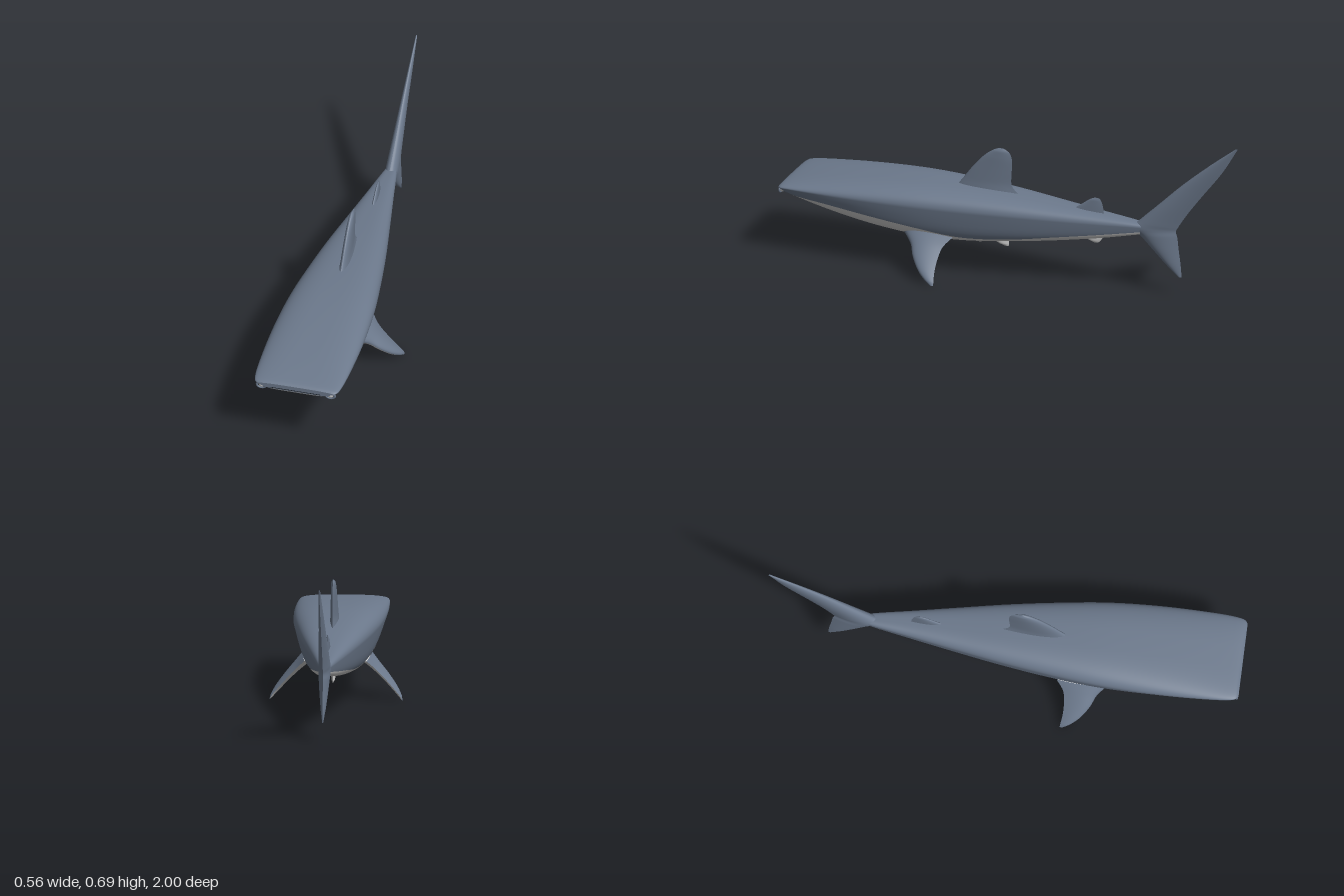
import * as THREE from 'three';

const skin = new THREE.MeshStandardMaterial({ color: 0x6c798c });
const belly = new THREE.MeshStandardMaterial({ color: 0xcccccc });
const dark = new THREE.MeshStandardMaterial({ color: 0x20262e });
for (const m of [skin, belly]) m.side = THREE.DoubleSide;

// Smooth skin over rows of points, all rows the same length
function loft(name, rows, material) {
  const n = rows[0].length, index = [];
  for (let i = 0; i < rows.length - 1; i++) {
    for (let j = 0; j < n - 1; j++) {
      const a = i * n + j, b = a + n;
      index.push(a, b, a + 1, b, b + 1, a + 1);
    }
  }
  const geo = new THREE.BufferGeometry().setFromPoints(rows.flat());
  geo.setIndex(index);
  geo.computeVertexNormals();
  const mesh = new THREE.Mesh(geo, material);
  mesh.name = name;
  return mesh;
}

const curve = (pts) => new THREE.CatmullRomCurve3(pts, false, 'centripetal');

// Fin from sections [lead xyz, trail xyz, half thickness]; one shell per side
function fin(name, sections, matA = skin, matB = matA) {
  const lead = curve(sections.map((s) => new THREE.Vector3(...s[0])));
  const trail = curve(sections.map((s) => new THREE.Vector3(...s[1])));
  const first = sections[0], last = sections[sections.length - 1];
  const mid = (s) => new THREE.Vector3(...s[0]).add(new THREE.Vector3(...s[1])).multiplyScalar(0.5);
  const chord = new THREE.Vector3(...first[1]).sub(new THREE.Vector3(...first[0]));
  const normal = mid(last).sub(mid(first)).cross(chord).normalize();
  const group = new THREE.Group();
  group.name = name;
  for (const side of [1, -1]) {
    const rows = [];
    const steps = (sections.length - 1) * 5;
    for (let i = 0; i <= steps; i++) {
      const t = i / steps, k = Math.min(Math.floor(t * (sections.length - 1)), sections.length - 2);
      const h = THREE.MathUtils.lerp(sections[k][2], sections[k + 1][2], t * (sections.length - 1) - k);
      const a = lead.getPoint(t), b = trail.getPoint(t), row = [];
      for (let j = 0; j <= 14; j++) {
        const c = (j / 14) ** 2;
        const bulge = h * 2.6 * Math.sqrt(c) * (1 - c) * side;
        row.push(a.clone().lerp(b, c).addScaledVector(normal, bulge));
      }
      rows.push(side > 0 ? row : row.reverse());
    }
    group.add(loft(name + (side > 0 ? 'SideA' : 'SideB'), rows, side > 0 ? matA : matB));
  }
  return group;
}

// Fin on the centre plane, sections [lead z, y, trail z, y, half thickness]
const midFin = (name, list, mat) =>
  fin(name, list.map(([z1, y1, z2, y2, h]) => [[0, y1, z1], [0, y2, z2], h]), mat);

// Body stations: z, half width, top, bottom, height of the colour line
const stations = [
  [1.0, 0.165, 0.308, 0.284, 0.285],
  [0.988, 0.178, 0.316, 0.272, 0.275],
  [0.95, 0.187, 0.325, 0.258, 0.27],
  [0.8, 0.195, 0.345, 0.213, 0.258],
  [0.6, 0.195, 0.362, 0.17, 0.23],
  [0.4, 0.184, 0.37, 0.145, 0.2],
  [0.2, 0.16, 0.366, 0.142, 0.17],
  [0, 0.13, 0.354, 0.16, 0.18],
  [-0.2, 0.094, 0.337, 0.186, 0.21],
  [-0.4, 0.057, 0.319, 0.219, 0.24],
  [-0.55, 0.03, 0.305, 0.25, 0.264],
  [-0.66, 0.006, 0.29, 0.272, 0.279],
];

function body() {
  const sizes = curve(stations.map(([z, w, t]) => new THREE.Vector3(w, t, z)));
  const unders = curve(stations.map(([z, , , b, s]) => new THREE.Vector3(s, b, z)));
  const upper = [], lower = [];
  const steps = (stations.length - 1) * 5;
  for (let i = 0; i <= steps; i++) {
    const { x: w, y: top, z } = sizes.getPoint(i / steps);
    const { x: line, y: bottom } = unders.getPoint(i / steps);
    const wide = bottom + (top - bottom) * 0.67;
    // Rounded upper half, and a lower half that narrows to a flat belly
    const over = (a) => [w * Math.cos(a) ** 0.65, wide + (top - wide) * Math.sin(a) ** 0.8];
    const under = (a) => {
      const v = Math.sin(a) ** 0.4;
      return [w * (1 - 0.22 * v) * Math.max(Math.cos(a), 0) ** 0.4, wide - (wide - bottom) * v];
    };
    const split = Math.asin(THREE.MathUtils.clamp((wide - line) / (wide - bottom), 0.02, 1) ** 2.5);
    const halfUp = [], halfLow = [];
    for (let j = 0; j < 6; j++) halfUp.push(under(split * (1 - j / 6)));
    for (let j = 0; j < 14; j++) halfUp.push(over((j / 14) * Math.PI / 2));
    for (let j = 0; j < 14; j++) halfLow.push(under(split + (Math.PI / 2 - split) * (j / 14)));
    const ring = (half, end, s) => [
      ...half.map(([x, y]) => new THREE.Vector3(s * x, y, z)),
      new THREE.Vector3(0, end, z),
      ...half.slice().reverse().map(([x, y]) => new THREE.Vector3(-s * x, y, z)),
    ];
    upper.push(ring(halfUp, top, 1));
    lower.push(ring(halfLow, bottom, -1));
  }
  // Blunt nose face closing the first ring
  const rim = [...upper[0], ...lower[0]];
  const centre = rim.map((p) => new THREE.Vector3(p.x * 0.9, 0.296, 1));
  const group = new THREE.Group();
  group.name = 'body';
  group.add(loft('back', upper, skin), loft('belly', lower, belly), loft('nose', [centre, rim], skin));
  return group;
}

export function createModel() {
  const model = new THREE.Group();
  model.name = 'shark';
  model.add(body());

  // Fins along the centre line
  model.add(midFin('dorsalFin', [
    [0.27, 0.345, -0.02, 0.345, 0.02], [0.235, 0.39, 0.015, 0.385, 0.016],
    [0.19, 0.45, 0.016, 0.44, 0.014], [0.14, 0.505, 0.014, 0.495, 0.012],
    [0.1, 0.535, 0.025, 0.53, 0.009], [0.07, 0.548, 0.05, 0.546, 0.002],
  ]));
  model.add(midFin('rearDorsalFin', [
    [-0.25, 0.315, -0.4, 0.305, 0.009], [-0.3, 0.35, -0.395, 0.345, 0.007],
    [-0.335, 0.375, -0.387, 0.372, 0.005], [-0.36, 0.386, -0.378, 0.384, 0.001],
  ]));
  model.add(midFin('pelvicFin', [
    [0.17, 0.16, 0.01, 0.17, 0.012], [0.11, 0.14, 0.028, 0.14, 0.01],
    [0.075, 0.123, 0.027, 0.122, 0.007], [0.05, 0.113, 0.03, 0.112, 0.001],
  ], belly));
  model.add(midFin('analFin', [
    [-0.24, 0.21, -0.4, 0.235, 0.009], [-0.3, 0.205, -0.395, 0.215, 0.007],
    [-0.335, 0.191, -0.385, 0.197, 0.005], [-0.355, 0.184, -0.373, 0.185, 0.001],
  ], belly));

  // Tail fin, from the upper tip to the lower tip
  model.add(midFin('tailFin', [
    [-0.99, 0.69, -1, 0.69, 0.003], [-0.88, 0.605, -0.93, 0.575, 0.008],
    [-0.75, 0.495, -0.842, 0.46, 0.014], [-0.65, 0.4, -0.775, 0.37, 0.02],
    [-0.56, 0.315, -0.73, 0.3, 0.025], [-0.525, 0.28, -0.722, 0.282, 0.026],
    [-0.56, 0.25, -0.728, 0.26, 0.024], [-0.62, 0.19, -0.735, 0.2, 0.018],
    [-0.68, 0.13, -0.743, 0.14, 0.011], [-0.735, 0.08, -0.748, 0.083, 0.002],
  ]));

  for (const s of [1, -1]) {
    const label = s > 0 ? 'left' : 'right';
    // Pectoral fin, pale underneath
    const sections = [
      [[s * 0.125, 0.165, 0.45], [s * 0.13, 0.17, 0.23], 0.026],
      [[s * 0.165, 0.13, 0.405], [s * 0.165, 0.133, 0.262], 0.02],
      [[s * 0.205, 0.09, 0.38], [s * 0.205, 0.09, 0.27], 0.016],
      [[s * 0.245, 0.045, 0.34], [s * 0.245, 0.045, 0.268], 0.012],
      [[s * 0.268, 0.015, 0.3], [s * 0.27, 0.015, 0.262], 0.007],
      [[s * 0.278, 0, 0.272], [s * 0.278, 0, 0.26], 0.001],
    ];
    model.add(fin(label + 'PectoralFin', sections, s > 0 ? skin : belly, s > 0 ? belly : skin));

    // Eye with a soft lid at the corner of the snout
    const eye = new THREE.Mesh(new THREE.SphereGeometry(0.013, 20, 14), belly);
    eye.name = label + 'Eye';
    eye.position.set(s * 0.149, 0.29, 0.987);
    const lid = new THREE.Mesh(new THREE.TorusGeometry(0.015, 0.004, 8, 24), skin);
    lid.name = label + 'Eyelid';
    lid.position.set(s * 0.149, 0.29, 0.994);
    lid.scale.set(1.3, 0.95, 1);
    model.add(eye, lid);
  }

  // Thin mouth slit across the snout
  const mouth = new THREE.Mesh(new THREE.BoxGeometry(0.214, 0.003, 0.004), dark);
  mouth.name = 'mouth';
  mouth.position.set(0, 0.289, 0.9985);
  model.add(mouth);
  return model;
}
